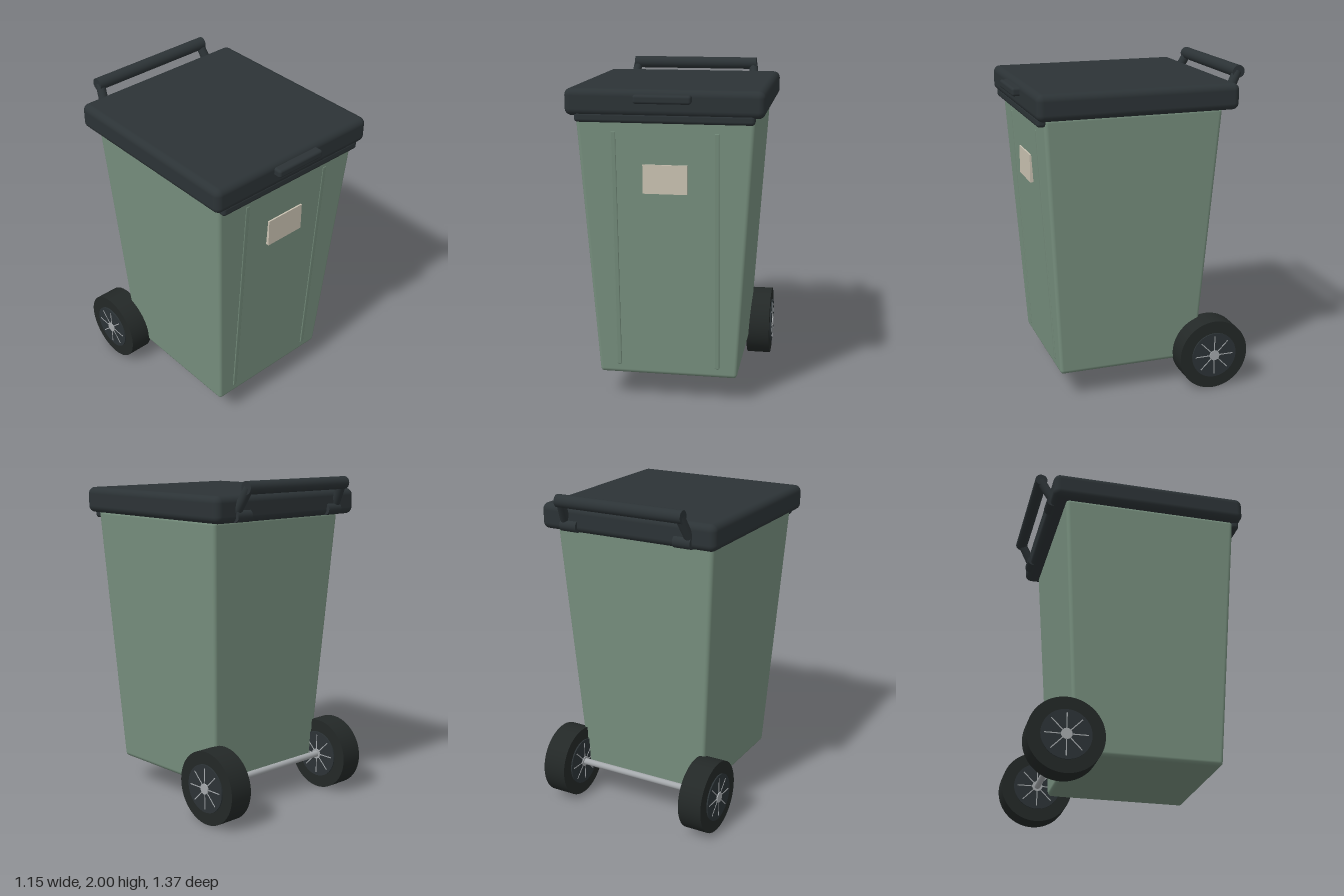
import * as THREE from 'three';
import { RoundedBoxGeometry } from 'three/addons/geometries/RoundedBoxGeometry.js';

const material = (color) => new THREE.MeshStandardMaterial({ color });
const green = material(0x748c7b);
const dark = material(0x2c3336);
const rubber = material(0x232827);
const metal = material(0xa4a8ab);
const cream = material(0xc9c1b1);

function add(parent, name, geometry, mat, x = 0, y = 0, z = 0) {
  const mesh = new THREE.Mesh(geometry, mat);
  mesh.name = name;
  mesh.position.set(x, y, z);
  parent.add(mesh);
  return mesh;
}

// Cylinder whose axis runs along x
const axleShape = (radius, length, sides = 48) =>
  new THREE.CylinderGeometry(radius, radius, length, sides).rotateZ(Math.PI / 2);

// Rounded box that widens evenly from bottom to top
function taperedBody() {
  const height = 1.61;
  const geometry = new RoundedBoxGeometry(1.04, height, 1.08, 4, 0.025);
  const p = geometry.attributes.position;
  for (let i = 0; i < p.count; i++) {
    const t = 0.5 - p.getY(i) / height;
    p.setX(i, p.getX(i) * (1 - t * 0.1 / 0.52));
    p.setZ(i, p.getZ(i) * (1 - t * 0.1 / 0.54));
  }
  return geometry;
}

function createWheel(side) {
  const wheel = new THREE.Group();
  wheel.name = side > 0 ? 'leftWheel' : 'rightWheel';
  wheel.position.set(side * 0.483, 0.222, -0.46);
  add(wheel, 'tyre', axleShape(0.222, 0.15, 64), rubber);
  add(wheel, 'hub', axleShape(0.145, 0.166), dark);
  add(wheel, 'hubCap', axleShape(0.032, 0.18, 32), metal);
  // Slim spokes on both faces of the hub
  for (const face of [-1, 1]) {
    for (let i = 0; i < 8; i++) {
      const angle = (i * Math.PI) / 4;
      const spoke = add(wheel, 'spoke', new THREE.BoxGeometry(0.006, 0.1, 0.006), metal,
        face * 0.082, Math.cos(angle) * 0.075, Math.sin(angle) * 0.075);
      spoke.rotation.x = angle;
    }
  }
  return wheel;
}

export function createModel() {
  const bin = new THREE.Group();
  bin.name = 'wheeledBin';

  // Container
  add(bin, 'body', taperedBody(), green, 0, 0.97, 0.05);
  for (const side of [-1, 1]) {
    const rib = add(bin, 'frontRib', new RoundedBoxGeometry(0.03, 1.452, 0.02, 2, 0.006),
      green, side * 0.3, 0.95, 0.533);
    rib.rotation.x = 0.06;
  }
  add(bin, 'labelPlate', new THREE.BoxGeometry(0.26, 0.17, 0.025), cream, 0, 1.4, 0.569);

  // Lid with front lip and grip
  add(bin, 'lid', new RoundedBoxGeometry(1.146, 0.155, 1.215, 5, 0.04), dark, 0, 1.8425, 0.0325);
  add(bin, 'frontLip', new RoundedBoxGeometry(1.035, 0.06, 0.055, 4, 0.02), dark, 0, 1.758, 0.602);
  add(bin, 'lidGrip', new RoundedBoxGeometry(0.33, 0.05, 0.07, 4, 0.015), dark, 0, 1.87, 0.65);

  // Rear handle, its arms and hinges
  const handle = new THREE.Group();
  handle.name = 'handle';
  bin.add(handle);
  add(handle, 'handleBar', axleShape(0.038, 0.82, 24), dark, 0, 1.962, -0.632);
  for (const side of [-1, 1]) {
    const arm = new THREE.LineCurve3(
      new THREE.Vector3(side * 0.415, 1.8, -0.545),
      new THREE.Vector3(side * 0.388, 1.962, -0.632));
    add(handle, 'handleArm', new THREE.TubeGeometry(arm, 1, 0.028, 16), dark);
    add(handle, 'hinge', axleShape(0.036, 0.11, 24), dark, side * 0.375, 1.803, -0.56);
  }

  // Running gear
  add(bin, 'axle', axleShape(0.02, 0.96, 24), metal, 0, 0.222, -0.46);
  bin.add(createWheel(-1), createWheel(1));
  return bin;
}
